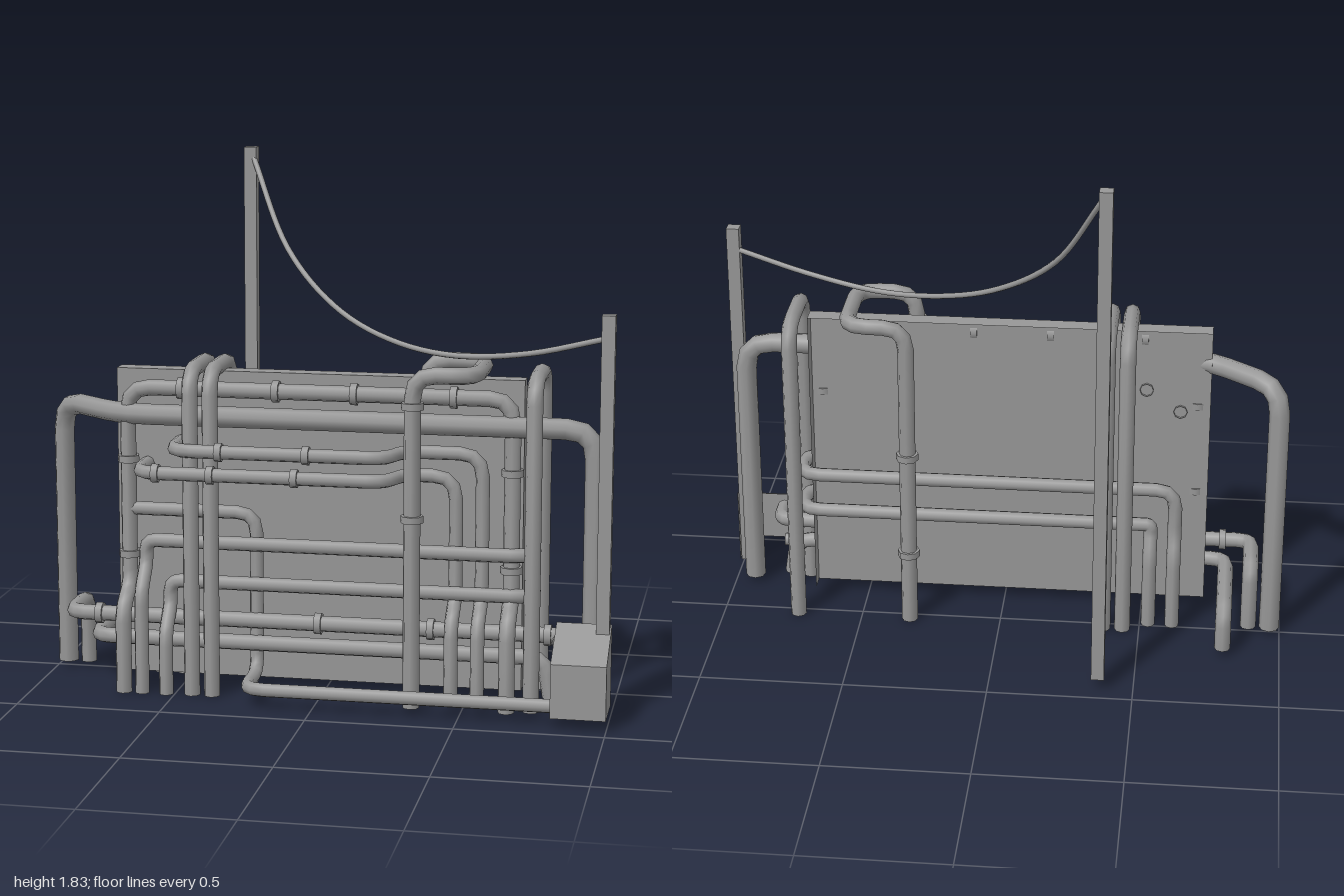
import * as THREE from 'three';

const V = (p) => new THREE.Vector3(...p);
const material = new THREE.MeshStandardMaterial({ color: 0x979797, side: THREE.DoubleSide });

// Polyline sampled exactly at its own points, so straight runs cost one segment
class PipePath extends THREE.Curve {
  constructor(points) { super(); this.points = points; }
  at(u) { return Math.round(u * (this.points.length - 1)); }
  getPointAt(u, target = new THREE.Vector3()) { return target.copy(this.points[this.at(u)]); }
  getTangentAt(u, target = new THREE.Vector3()) {
    const p = this.points, i = this.at(u), last = p.length - 1;
    const a = p[Math.min(i, last - 1)].clone(), b = p[Math.max(i, 1)].clone();
    const next = p[Math.min(i + 1, last)].clone().sub(a).normalize();
    const prev = b.sub(p[Math.max(i - 1, 0)]).normalize();
    return target.copy(next.add(prev).normalize());
  }
}

// Round each corner with a short three-segment bend
function bend(corners, radius) {
  const c = corners.map(V), out = [c[0]];
  for (let i = 1; i < c.length - 1; i++) {
    const toA = c[i - 1].clone().sub(c[i]), toB = c[i + 1].clone().sub(c[i]);
    const r = Math.min(radius, toA.length() * 0.45, toB.length() * 0.45);
    const a = c[i].clone().addScaledVector(toA.normalize(), r);
    const b = c[i].clone().addScaledVector(toB.normalize(), r);
    const arc = new THREE.QuadraticBezierCurve3(a, c[i], b);
    out.push(...arc.getPoints(3));
  }
  out.push(c[c.length - 1]);
  return out;
}

// Foot of a front pipe: steps forward over the low pipes, then drops
const frontFoot = (x, z, y = 0.01) => [[x, 0.37, z], [x, 0.31, 0.285], [x, y, 0.285]];

// Box faces in build order: +x, -x, +y, -y, +z, -z
const ALL = [0, 1, 2, 3, 4, 5];
const OPEN_BACK_AND_BOTTOM = [0, 1, 2, 4];

export function createModel() {
  const model = new THREE.Group();

  const add = (name, geometry, parent = model) => {
    const mesh = new THREE.Mesh(geometry, material);
    mesh.name = name;
    parent.add(mesh);
    return mesh;
  };

  // Box between limits, keeping only the listed faces
  const box = (name, x0, x1, y0, y1, z0, z1, faces = ALL) => {
    const geometry = new THREE.BoxGeometry(x1 - x0, y1 - y0, z1 - z0);
    geometry.translate((x0 + x1) / 2, (y0 + y1) / 2, (z0 + z1) / 2);
    const index = Array.from(geometry.index.array);
    geometry.setIndex(faces.flatMap((f) => index.slice(f * 6, f * 6 + 6)));
    geometry.clearGroups();
    return add(name, geometry);
  };

  // Bent eight-sided open pipe with optional clamps [x, y, z, axis]
  const pipe = (name, r, corners, { radius = 0.08, clamps = [] } = {}) => {
    const group = new THREE.Group();
    group.name = name;
    model.add(group);
    const points = bend(corners, radius);
    add('tube', new THREE.TubeGeometry(new PipePath(points), points.length - 1, r, 8), group);
    for (const [x, y, z, axis] of clamps) {
      const clamp = add('clamp', new THREE.CylinderGeometry(r * 1.35, r * 1.35, 0.024, 8), group);
      clamp.position.set(x, y, z);
      if (axis === 'x') clamp.rotation.z = Math.PI / 2;
    }
  };

  // Hollow panel and posts
  box('panel', -0.725, 0.685, 0.05, 1.125, 0.09, 0.155, OPEN_BACK_AND_BOTTOM);
  box('rearPost', -0.4, -0.355, 0.05, 1.84, -0.45, -0.405);
  box('frontPost', 0.95, 0.995, 0.05, 1.375, 0.27, 0.315);

  // Hollow junction box, its front top edge lowered to slope the lid
  const junction = box('junctionBox', 0.815, 1, 0.05, 0.33, 0.27, 0.455, OPEN_BACK_AND_BOTTOM).geometry;
  const corner = junction.attributes.position;
  for (let i = 0; i < corner.count; i++) {
    if (corner.getY(i) > 0.2 && corner.getZ(i) > 0.4) corner.setY(i, 0.235);
  }
  junction.computeVertexNormals();

  // Sagging cable between the posts
  const sag = new THREE.CatmullRomCurve3([
    [-0.37, 1.81, -0.42], [-0.2, 1.5, -0.22], [0.01, 1.32, -0.045], [0.22, 1.235, 0.075],
    [0.44, 1.205, 0.165], [0.7, 1.23, 0.24], [0.965, 1.295, 0.285],
  ].map(V));
  add('cable', new THREE.TubeGeometry(sag, 40, 0.01, 8));

  // Large main across the front
  pipe('mainPipe', 0.036, [[-0.963, 0.03, 0], [-0.963, 0.975, 0], [-0.7, 0.975, 0.205],
    [0.93, 0.975, 0.205], [0.93, 0.03, 0.205]], { radius: 0.1 });

  // Frame pipe around the top and sides, its clamps biting into the panel
  const frameClamps = [-0.49, -0.16, 0.11, 0.45].map((x) => [x, 1.065, 0.185, 'x']);
  for (const x of [-0.68, 0.65]) for (const y of [0.815, 0.48]) frameClamps.push([x, y, 0.185, 'y']);
  pipe('framePipe', 0.028, [...frontFoot(-0.68, 0.185).reverse(), [-0.68, 1.065, 0.185],
    [0.65, 1.065, 0.185], ...frontFoot(0.65, 0.185)], { clamps: frameClamps });

  // Low pipes running to the junction box
  pipe('upperLowPipe', 0.028, [[-0.888, 0.03, 0], [-0.888, 0.265, 0], [-0.888, 0.265, 0.205],
    [0.83, 0.265, 0.205], [0.83, 0.265, 0.3]],
  { radius: 0.05, clamps: [-0.785, -0.01, 0.38, 0.78].map((x) => [x, 0.265, 0.205, 'x']) });
  pipe('lowerLowPipe', 0.028, [[-0.8, 0.035, -0.17], [-0.8, 0.185, -0.17], [-0.8, 0.185, 0.205],
    [0.77, 0.185, 0.205], [0.79, 0.05, 0.205]], { radius: 0.06 });
  pipe('feedPipe', 0.024, [[-0.67, 0.64, 0.185], [-0.23, 0.64, 0.185], [-0.23, 0.075, 0.185],
    [-0.23, 0.075, 0.395], [0.85, 0.075, 0.395]], { radius: 0.07 });

  // Paired pipes that leave the panel, step back and drop
  for (const [start, y, drop, clampXs] of [
    [-0.5, 0.875, 0.55, [-0.33, -0.03]], [-0.62, 0.795, 0.46, [-0.55, -0.36, -0.07]],
  ]) {
    pipe('steppedPipe', 0.024, [[start, y, 0.145], [start, y, 0.32], [0.24, y, 0.32],
      [0.28, y, 0.185], [drop, y, 0.185], ...frontFoot(drop, 0.185, 0.03)],
    { clamps: clampXs.map((x) => [x, y, 0.32, 'x']) });
  }

  // Paired pipes wrapped around the panel's left edge
  for (const [x, y] of [[-0.615, 0.535], [-0.53, 0.395]]) {
    const top = y - 0.085;
    pipe('wrapPipe', 0.025, [[x, 0.01, 0.285], [x, top - 0.08, 0.285], [x, top, 0.21], [x, y, 0.21],
      [0.72, y, 0.21], [0.72, y, 0.05], [x, y, 0.05], [x, 0.36, 0.05], [x, 0.28, 0.015],
      [x, 0.01, 0.015]], { radius: 0.07 });
  }

  // Arches over the top of the panel
  for (const [x, front] of [[-0.44, 0.275], [-0.37, 0.275], [0.73, 0.26]]) {
    pipe('archPipe', 0.028, [[x, 0.01, front], [x, 1.14, front], [x, 1.14, -0.03], [x, 0.01, -0.03]]);
  }

  // Riser that detours sideways over the panel and down the back
  const riserClamps = [];
  for (const z of [0.285, -0.03]) for (const y of [0.665, 1.05, 0.28]) {
    if (z < 0 ? y < 1 : y > 0.5) riserClamps.push([0.325, y, z, 'y']);
  }
  pipe('riserPipe', 0.029, [[0.325, 0.01, 0.285], [0.325, 1.155, 0.285], [0.535, 1.155, 0.285],
    [0.535, 1.155, -0.03], [0.325, 1.155, -0.03], [0.325, 0.01, -0.03]], { clamps: riserClamps });

  return model;
}
